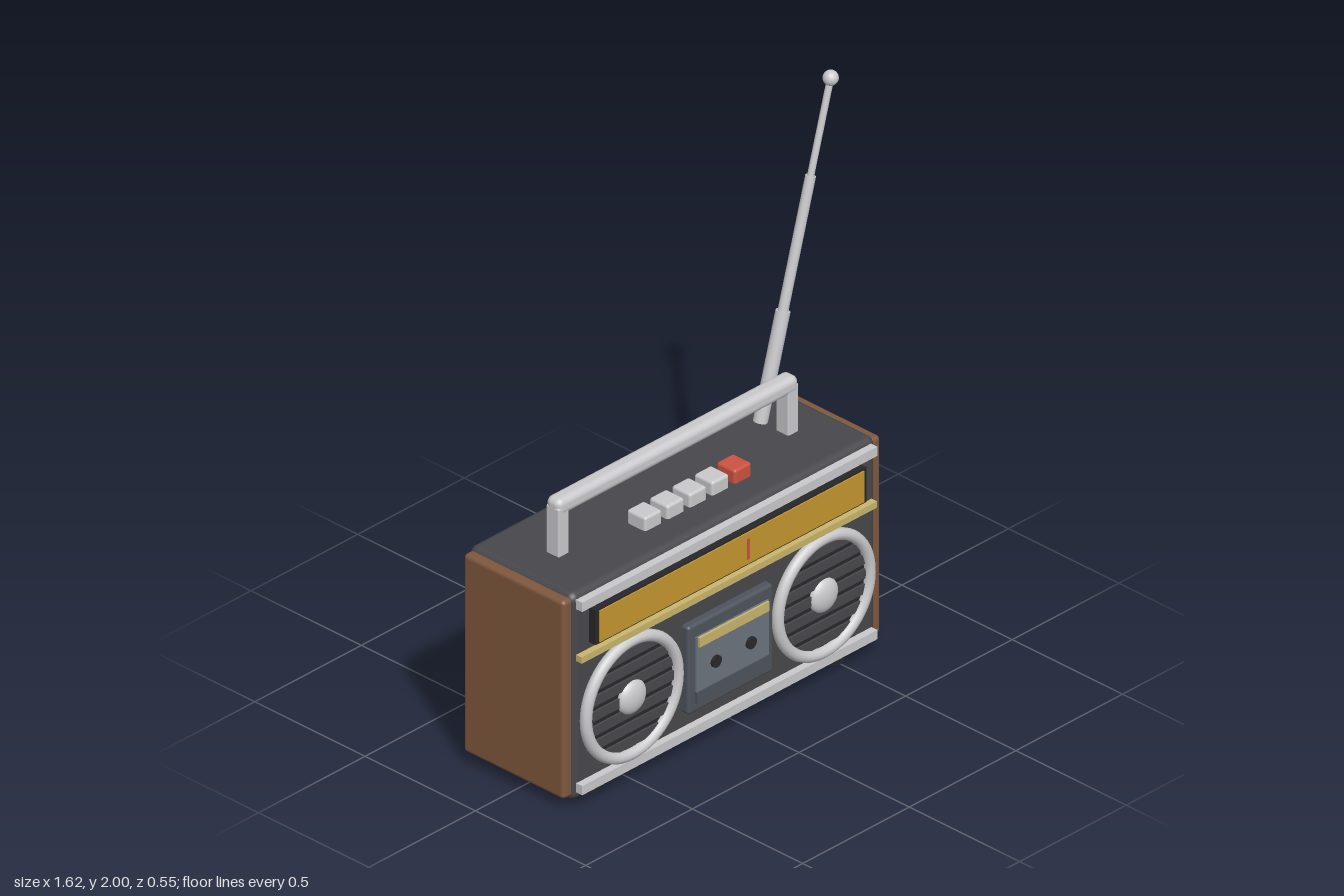
import * as THREE from 'three';
import { RoundedBoxGeometry } from 'three/addons/geometries/RoundedBoxGeometry.js';

const mat = (name, color) => {
  const m = new THREE.MeshStandardMaterial({ color });
  m.name = name;
  return m;
};

export function createModel() {
  const root = new THREE.Group();
  root.name = 'portableRadio';
  const charcoal = mat('charcoal', 0x48484c);
  const black = mat('black', 0x28282b);
  const chrome = mat('chrome', 0xcacacd);
  const wood = mat('woodBrown', 0x7f583d);
  const gold = mat('gold', 0xc9b56c);
  const amber = mat('amber', 0xc4962f);
  const red = mat('red', 0xcc5342);
  const slate = mat('slate', 0x4e535c);
  const glass = mat('windowGrey', 0x6b747d);

  const add = (name, geo, m, x = 0, y = 0, z = 0, parent = root) => {
    const mesh = new THREE.Mesh(geo, m);
    mesh.name = name;
    mesh.position.set(x, y, z);
    parent.add(mesh);
    return mesh;
  };
  // Box given by its limits on each axis, optionally with rounded edges
  const box = (name, m, [x0, x1], [y0, y1], [z0, z1], r = 0) => {
    const s = [x1 - x0, y1 - y0, z1 - z0];
    const geo = r ? new RoundedBoxGeometry(...s, 3, r) : new THREE.BoxGeometry(...s);
    return add(name, geo, m, (x0 + x1) / 2, (y0 + y1) / 2, (z0 + z1) / 2);
  };
  const cx = -0.065; // middle of the case

  // Case, wooden end panels and feet
  box('case', charcoal, [-0.78, 0.65], [0.025, 0.81], [-0.25, 0.225], 0.03);
  box('leftPanel', wood, [0.63, 0.68], [0.045, 0.795], [-0.24, 0.215], 0.015);
  box('rightPanel', wood, [-0.81, -0.76], [0.045, 0.795], [-0.24, 0.215], 0.015);
  for (const x of [-0.635, 0.505]) for (const z of [0.155, -0.175])
    add('foot', new THREE.CylinderGeometry(0.055, 0.05, 0.04, 24), black, x, 0.02, z);

  // Front trim strips
  box('topTrim', chrome, [-0.76, 0.625], [0.755, 0.79], [0.215, 0.252]);
  box('bottomTrim', chrome, [-0.76, 0.625], [0.06, 0.095], [0.215, 0.252]);
  box('goldTrim', gold, [-0.76, 0.625], [0.558, 0.582], [0.215, 0.25]);

  // Tuning dial
  box('dialFrame', black, [-0.7, 0.57], [0.605, 0.737], [0.215, 0.255]);
  box('dial', amber, [-0.685, 0.555], [0.612, 0.73], [0.25, 0.26]);
  box('needle', red, [0.004, 0.016], [0.63, 0.708], [0.258, 0.263]);

  // Speakers: dark cone, slats, ring and domed cap
  for (const x of [cx - 0.45, cx + 0.45]) {
    const speaker = new THREE.Group();
    speaker.name = 'speaker';
    speaker.position.set(x, 0.325, 0.225);
    root.add(speaker);
    const cone = add('cone', new THREE.CylinderGeometry(0.215, 0.215, 0.016, 48), black, 0, 0, 0.002, speaker);
    cone.rotation.x = Math.PI / 2;
    for (let i = -3; i <= 3; i++) {
      const y = i * 0.056;
      const w = 2 * Math.sqrt(0.21 ** 2 - y * y);
      add('slat', new THREE.BoxGeometry(w, 0.036, 0.012), charcoal, 0, y, 0.012, speaker);
    }
    add('ring', new THREE.TorusGeometry(0.215, 0.021, 12, 56), chrome, 0, 0, 0.015, speaker);
    const cap = add('cap', new THREE.SphereGeometry(0.063, 28, 16), chrome, 0, 0, 0.012, speaker);
    cap.scale.z = 0.5;
  }

  // Cassette door
  box('cassetteDoor', slate, [-0.265, 0.135], [0.15, 0.483], [0.21, 0.255], 0.012);
  box('cassetteWindow', glass, [-0.235, 0.105], [0.19, 0.436], [0.25, 0.263]);
  box('cassetteLip', slate, [-0.235, 0.105], [0.187, 0.23], [0.25, 0.267]);
  box('cassetteLabel', gold, [-0.228, 0.098], [0.4, 0.436], [0.262, 0.271]);
  for (const x of [-0.147, 0.017]) {
    const reel = add('reel', new THREE.CylinderGeometry(0.022, 0.022, 0.016, 20), black, x, 0.313, 0.264);
    reel.rotation.x = Math.PI / 2;
  }

  // Carrying handle
  for (const x of [-0.605, 0.472])
    box('handlePost', chrome, [x - 0.025, x + 0.025], [0.8, 0.99], [-0.038, 0.02], 0.006);
  box('handleBar', chrome, [-0.63, 0.5], [0.957, 1.02], [-0.044, 0.022], 0.024);

  // Push buttons, the last one for recording
  for (let i = 0; i < 5; i++) {
    const x = -0.275 + i * 0.105;
    box(i === 4 ? 'recordButton' : 'button', i === 4 ? red : chrome,
      [x - 0.04, x + 0.04], [0.795, 0.86], [0.023, 0.108], 0.01);
  }

  // Telescopic aerial, each stage thinner than the last
  const aerial = new THREE.Group();
  aerial.name = 'aerial';
  aerial.position.set(0.45, 0.81, -0.11);
  aerial.rotation.z = -Math.atan2(0.33, 1.163);
  root.add(aerial);
  for (const [from, to, r] of [[0, 0.39, 0.025], [0.38, 0.865, 0.018], [0.855, 1.2, 0.012]])
    add('aerialStage', new THREE.CylinderGeometry(r, r, to - from, 20), chrome, 0, (from + to) / 2, 0, aerial);
  add('aerialTip', new THREE.SphereGeometry(0.027, 20, 14), chrome, 0, 1.209, 0, aerial);

  // Side knobs
  for (const [y, r, x1] of [[0.605, 0.066, 0.73], [0.377, 0.058, 0.72]]) {
    const knob = add('knob', new THREE.CylinderGeometry(r * 0.95, r, x1 - 0.67, 32), chrome, (x1 + 0.67) / 2, y, 0.042);
    knob.rotation.z = -Math.PI / 2;
  }

  // Back plate and vents
  box('backPlate', gold, [-0.655, 0.525], [0.628, 0.717], [-0.274, -0.245]);
  for (let i = 0; i < 5; i++) {
    const y = 0.185 + i * 0.0735;
    box('vent', black, [cx - 0.5, cx + 0.5], [y - 0.015, y + 0.015], [-0.268, -0.245]);
  }
  return root;
}
